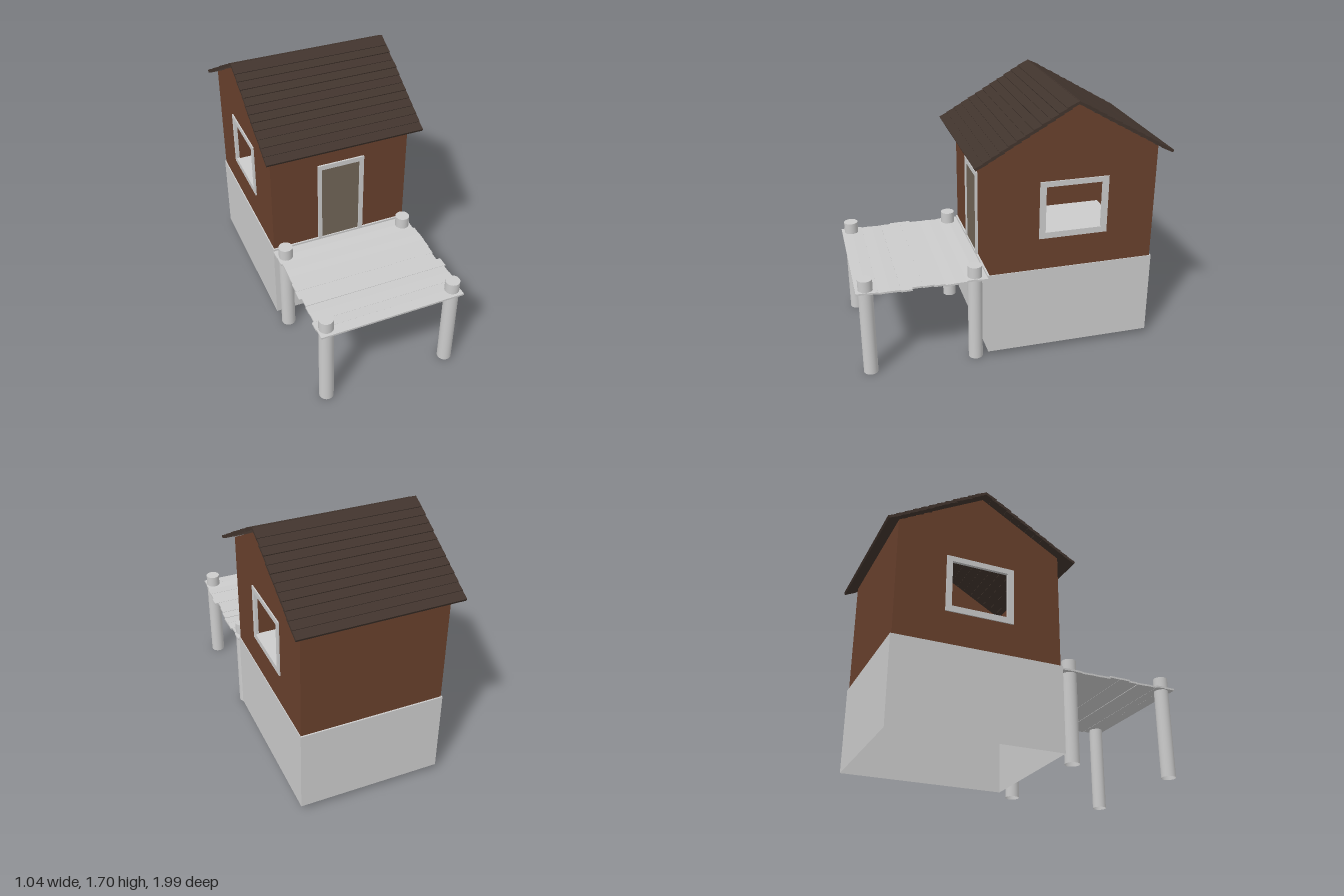
import * as THREE from 'three';

const mat = (name, color) => {
  const m = new THREE.MeshStandardMaterial({ color, side: THREE.DoubleSide });
  m.name = name;
  return m;
};

// Rectangle path from corner to corner
const rect = (Type, x0, y0, x1, y1) => new Type([[x0, y0], [x1, y0], [x1, y1], [x0, y1]].map(p => new THREE.Vector2(...p)));
const poly = pts => new THREE.Shape(pts.map(p => new THREE.Vector2(...p)));
const jitter = n => { const s = Math.sin(n * 12.9898 + 4.1) * 43758.5453; return (s - Math.floor(s)) * 2 - 1; };

export function createModel() {
  const grey = mat('light grey', 0xcbcbcb);
  const brown = mat('wall brown', 0x68402c);
  const dark = mat('roof brown', 0x41342d);
  const taupe = mat('door taupe', 0x716557);

  const house = new THREE.Group();
  house.name = 'house';
  const add = (name, geometry, material, x = 0, y = 0, z = 0, parent = house) => {
    const mesh = new THREE.Mesh(geometry, material);
    mesh.name = name;
    mesh.position.set(x, y, z);
    parent.add(mesh);
    return mesh;
  };
  const extrude = (shape, depth) => new THREE.ExtrudeGeometry(shape, { depth, bevelEnabled: false });

  // Foundation: a box without its underside, whose top is the floor
  const base = new THREE.BoxGeometry(0.94, 0.56, 1.10);
  base.setIndex([...base.index.array].filter((_, i) => i < 18 || i >= 24));
  base.clearGroups();
  add('foundation', base, grey, -0.007, 0.32, -0.37);

  // Front wall with a doorway, and plain back wall
  const xl = -0.47, xr = 0.458, floor = 0.6, eave = 1.37;
  const front = poly([[xl, floor], [-0.15, floor], [-0.15, 1.16], [0.14, 1.16], [0.14, floor], [xr, floor], [xr, eave], [xl, eave]]);
  add('frontWall', new THREE.ShapeGeometry(front), brown, 0, 0, 0.168);
  const back = new THREE.ShapeGeometry(rect(THREE.Shape, -xr, floor, -xl, eave));
  add('backWall', back, brown, 0, 0, -0.91).rotation.y = Math.PI;

  // Gable walls with a window each; shape x runs along z
  const gable = poly([[-0.91, floor], [0.168, floor], [0.168, eave], [-0.365, 1.672], [-0.91, eave]]);
  gable.holes.push(rect(THREE.Path, -0.57, 0.84, -0.17, 1.175));
  const frame = rect(THREE.Shape, -0.595, 0.815, -0.15, 1.195);
  frame.holes.push(rect(THREE.Path, -0.557, 0.855, -0.19, 1.16));
  for (const [side, x, frameX] of [['right', xr, 0.466], ['left', xl, -0.458]]) {
    add(side + 'GableWall', new THREE.ShapeGeometry(gable), brown, x).rotation.y = -Math.PI / 2;
    add(side + 'WindowFrame', extrude(frame, 0.02), grey, frameX).rotation.y = -Math.PI / 2;
  }

  // Door and its frame
  const doorFrame = poly([[-0.16, floor], [-0.135, floor], [-0.135, 1.143], [0.125, 1.143], [0.125, floor], [0.155, floor], [0.155, 1.175], [-0.16, 1.175]]);
  add('doorFrame', extrude(doorFrame, 0.024), grey, 0, 0, 0.156);
  add('door', new THREE.BoxGeometry(0.264, 0.545, 0.008), taupe, -0.005, 0.873, 0.168);

  // Roof: overlapping boards on both slopes
  const roof = new THREE.Group();
  roof.name = 'roof';
  house.add(roof);
  const rows = 12;
  for (const s of [1, -1]) {
    for (let i = 0; i < rows; i++) {
      const t = i / (rows - 1), k = i * 2 + s;
      const board = add('roofBoard', new THREE.BoxGeometry(1.032, 0.017, 0.084), dark,
        -0.003 + 0.002 * jitter(k), 1.676 - 0.323 * t, -0.36 + s * (0.032 + 0.558 * t), roof);
      board.rotation.x = s * (0.42 + 0.03 * jitter(k + 40));
      board.rotation.z = 0.002 * jitter(k + 80);
    }
  }

  // Deck: uneven planks
  const deck = new THREE.Group();
  deck.name = 'deck';
  house.add(deck);
  const planks = 12, step = 0.82 / planks;
  for (let i = 0; i < planks; i++) {
    const plank = add('deckPlank', new THREE.BoxGeometry(0.95 + 0.008 * jitter(i + 9), 0.012, step + 0.001), grey,
      0.012 * jitter(i), 0.585 + 0.003 * jitter(i + 20), 0.18 + (i + 0.5) * step, deck);
    plank.rotation.x = 0.05 * jitter(i + 60);
    plank.rotation.z = 0.003 * jitter(i + 30);
  }

  // Posts: hollow from below, with closed tops
  for (const x of [-0.42, 0.417]) {
    for (const z of [0.253, 0.937]) {
      const post = new THREE.Group();
      post.name = 'deckPost';
      post.position.set(x, 0, z);
      house.add(post);
      add('postShaft', new THREE.CylinderGeometry(0.046, 0.046, 0.665, 32, 1, true), grey, 0, 0.3325, 0, post);
      add('postTop', new THREE.CircleGeometry(0.046, 32), grey, 0, 0.665, 0, post).rotation.x = -Math.PI / 2;
    }
  }
  return house;
}
